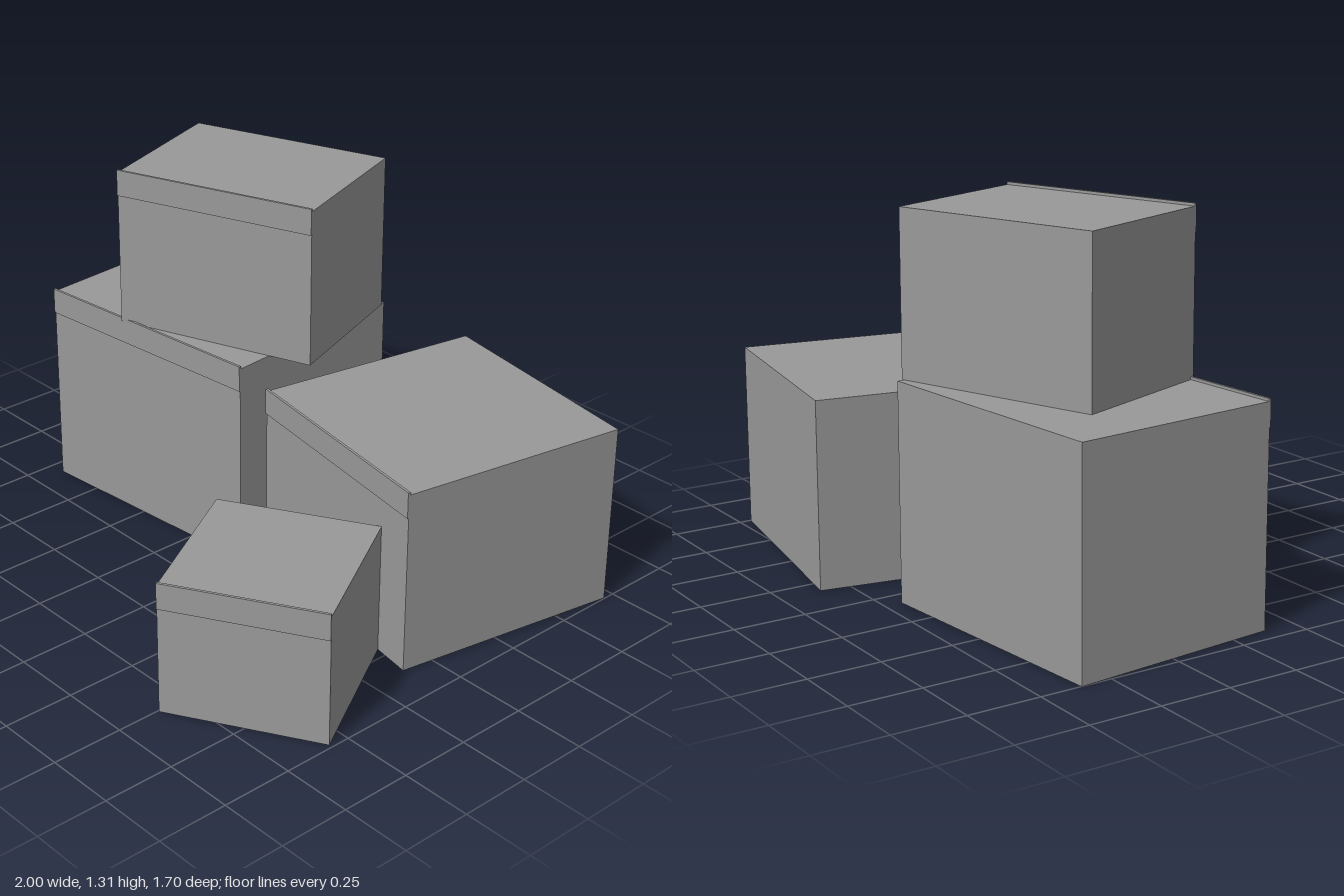
import * as THREE from 'three';

// name, width, height, depth, centre x, base y, centre z, turn in degrees
const BOXES = [
  ['leftBox', 0.928, 0.745, 0.743, -0.507, 0, -0.278, 5],
  ['rightBox', 0.836, 0.65, 0.834, 0.513, 0, -0.37, -10],
  ['stackedBox', 0.743, 0.557, 0.557, -0.322, 0.745, -0.278, 20],
  ['smallBox', 0.557, 0.465, 0.557, 0.607, 0, 0.466, 30],
];

export function createModel() {
  const model = new THREE.Group();
  model.name = 'boxPile';
  const grey = new THREE.MeshStandardMaterial({ color: 0x999999 });
  grey.name = 'grey';

  for (const [name, w, h, d, x, y, z, turn] of BOXES) {
    const box = new THREE.Group();
    box.name = name;
    box.position.set(x, y, z);
    box.rotation.y = THREE.MathUtils.degToRad(turn);

    const body = new THREE.Mesh(new THREE.BoxGeometry(w, h, d), grey);
    body.name = 'body';
    body.position.y = h / 2;

    // thin strip along the top front edge, standing slightly proud of the lid
    const strip = new THREE.Mesh(new THREE.BoxGeometry(w, 0.093, 0.009), grey);
    strip.name = 'frontStrip';
    strip.position.set(0, h - 0.037, d / 2);

    box.add(body, strip);
    model.add(box);
  }
  return model;
}
